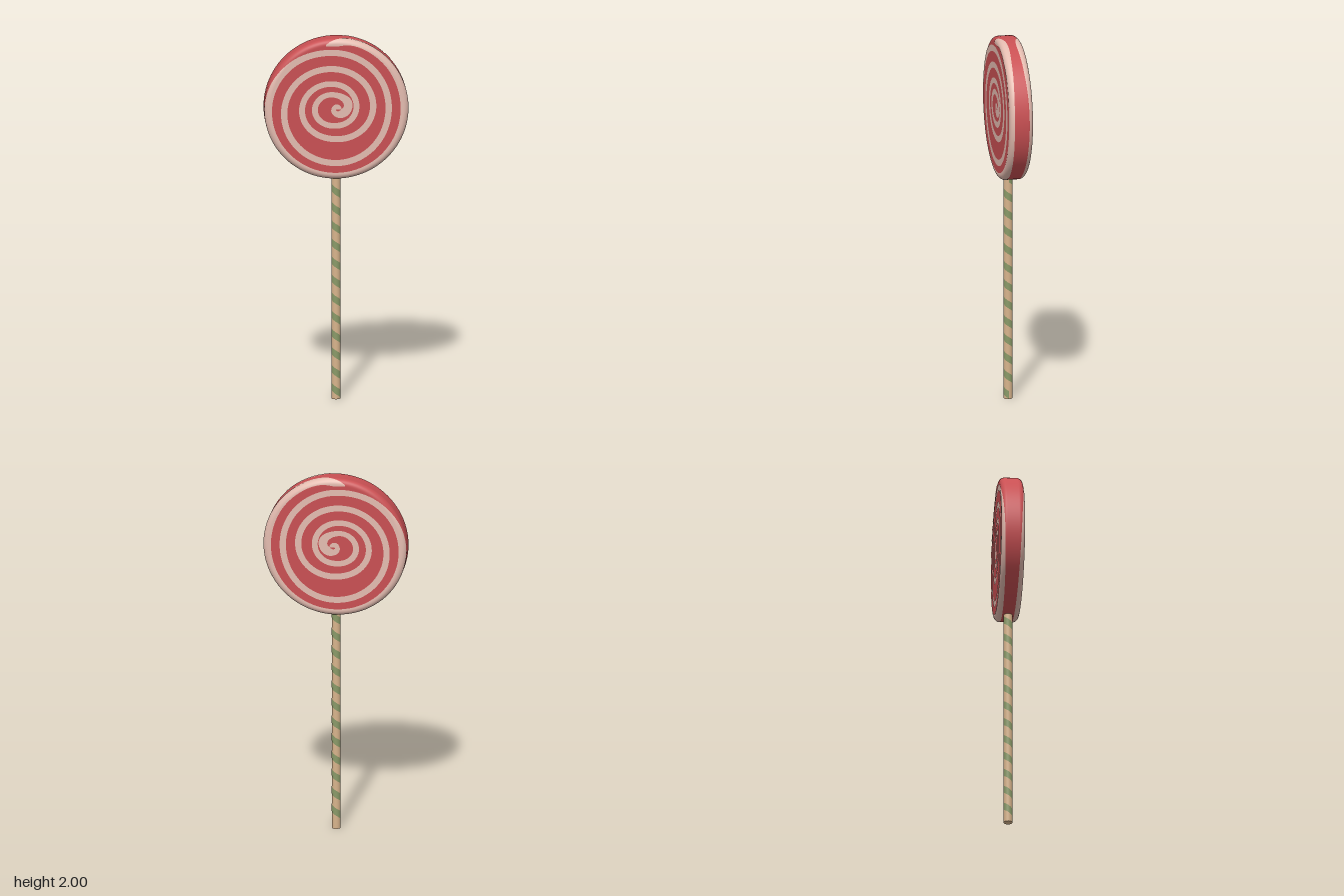
import * as THREE from 'three';
import { ParametricGeometry } from 'three/addons/geometries/ParametricGeometry.js';

const R = 0.387, HALF = 0.062, FILLET = 0.03, CENTRE_Y = 1.612;
const FLAT = R - FILLET, ARC = FILLET * Math.PI / 2;
const STICK_R = 0.0235, STICK_TOP = 1.26;

// Radius and depth of the candy surface at distance s from the middle of a face
function profile(s, lift = 0) {
  if (s <= FLAT) return [Math.max(s, 0), HALF + lift];
  if (s <= FLAT + ARC) {
    const a = (s - FLAT) / FILLET;
    return [FLAT + (FILLET + lift) * Math.sin(a), HALF - FILLET + (FILLET + lift) * Math.cos(a)];
  }
  return [R + lift, HALF - FILLET - (s - FLAT - ARC)];
}

// Swirl from rim to middle: clockwise degrees from the top, distance s, half width
const swirlPath = new THREE.CatmullRomCurve3([
  [-9, 0.358, 0.004], [0, 0.368, 0.02], [15, 0.387, 0.026], [45, 0.38, 0.026],
  [90, 0.37, 0.026], [180, 0.377, 0.027], [270, 0.368, 0.022], [315, 0.345, 0.018],
  [360, 0.312, 0.017], [450, 0.28, 0.017], [540, 0.296, 0.017], [630, 0.28, 0.017],
  [720, 0.222, 0.017], [810, 0.196, 0.017], [900, 0.164, 0.017], [990, 0.185, 0.016],
  [1080, 0.138, 0.016], [1170, 0.106, 0.016], [1260, 0.09, 0.016], [1350, 0.116, 0.016],
  [1440, 0.078, 0.016], [1500, 0.07, 0.024], [1540, 0.05, 0.028], [1620, 0.025, 0.018],
  [1710, 0.014, 0.014], [1800, 0.014, 0.014], [1890, 0.014, 0.014],
].map((p) => new THREE.Vector3(...p)), false, 'catmullrom', 0.5);

// Thin swirl ribbon that hugs the face and rolls over the rim
function swirlGeometry(side) {
  const k = new THREE.Vector3();
  return new ParametricGeometry((u, v, target) => {
    swirlPath.getPoint(u, k);
    const across = side > 0 ? v * 2 - 1 : 1 - v * 2;
    const [r, z] = profile(k.y + across * k.z, 0.0015);
    const a = Math.PI / 2 - THREE.MathUtils.degToRad(k.x);
    target.set(r * Math.cos(a), r * Math.sin(a), side * z);
  }, 800, 8);
}

// Helical stripe around the stick
function stripeGeometry() {
  const lead = 0.1, width = 0.042, turns = 12;
  return new ParametricGeometry((u, v, target) => {
    const a = u * turns * Math.PI * 2;
    const r = STICK_R + 0.0008;
    target.set(r * Math.cos(a), 0.002 + u * turns * lead + (1 - v) * width, r * Math.sin(a));
  }, turns * 24, 1);
}

export function createModel() {
  const group = new THREE.Group();
  const material = (name, color) => {
    const m = new THREE.MeshStandardMaterial({ color });
    m.name = name;
    return m;
  };
  const red = material('candy red', 0xc95053);
  const cream = material('pale pink', 0xe4bcb0);
  const beige = material('beige', 0xd8b48c);
  const green = material('soft green', 0x8a9a68);

  const add = (name, geometry, mat, y = 0) => {
    const mesh = new THREE.Mesh(geometry, mat);
    mesh.name = name;
    mesh.position.y = y;
    group.add(mesh);
    return mesh;
  };

  // Candy disc with rounded rim
  const outline = [];
  for (const s of [0, FLAT - 0.004]) outline.push(profile(s));
  for (let i = 0; i <= 8; i++) outline.push(profile(FLAT + ARC * i / 8));
  const half = outline.map(([r, z]) => new THREE.Vector2(r, -z));
  const other = outline.map(([r, z]) => new THREE.Vector2(r, z)).reverse();
  const disc = new THREE.LatheGeometry([...half, ...other], 96).rotateX(Math.PI / 2);
  add('candyDisc', disc, red, CENTRE_Y);

  // Swirl on both faces
  add('frontSwirl', swirlGeometry(1), cream, CENTRE_Y);
  add('backSwirl', swirlGeometry(-1), cream, CENTRE_Y);

  // Striped stick
  const stick = new THREE.CylinderGeometry(STICK_R, STICK_R, STICK_TOP, 24);
  add('stick', stick, beige, STICK_TOP / 2);
  add('stickStripe', stripeGeometry(), green);

  return group;
}
